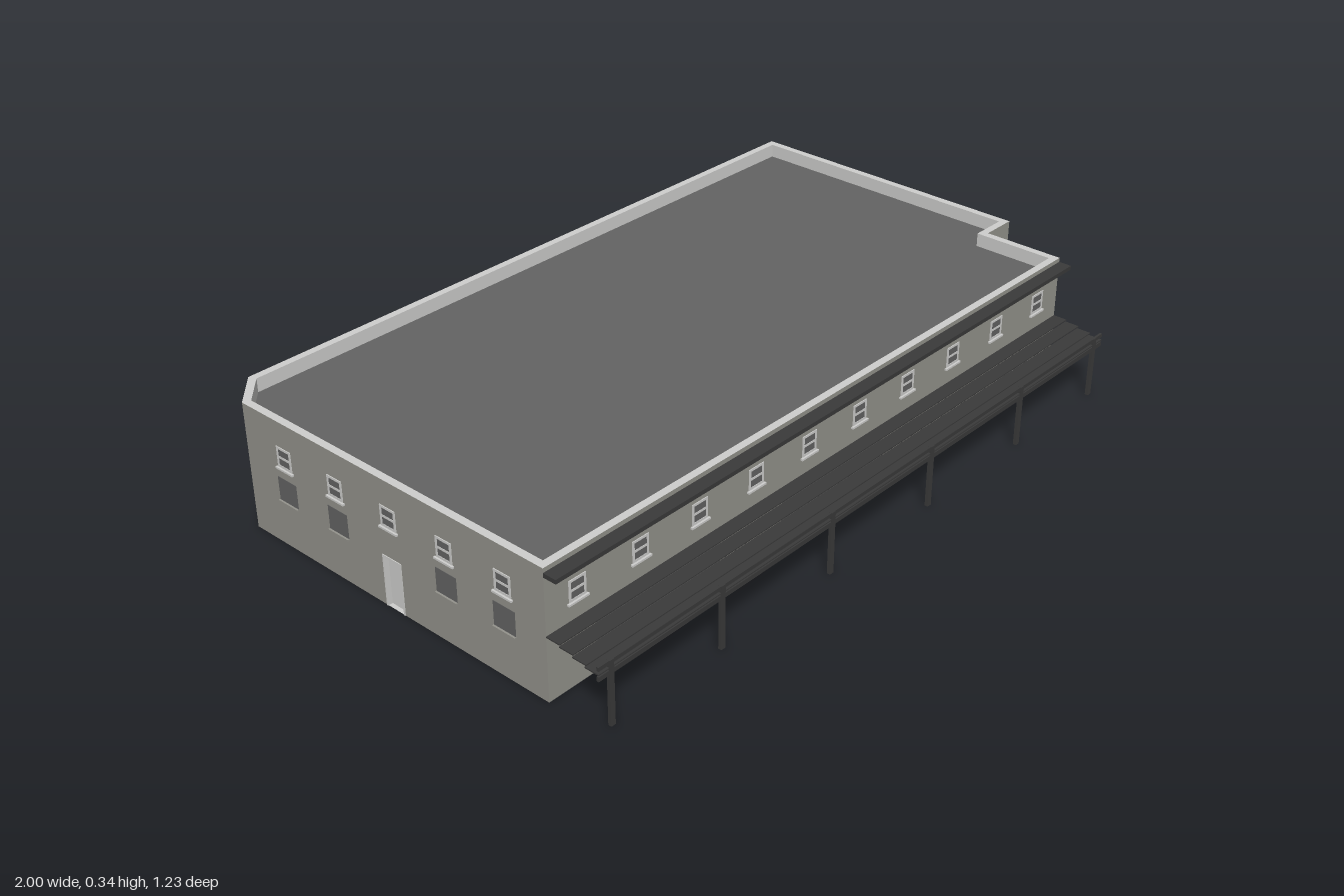
import * as THREE from 'three';

const material = (name, color, side = THREE.FrontSide) =>
  Object.assign(new THREE.MeshStandardMaterial({ color, side }), { name });

export function createModel() {
  const wallMat = material('wall grey', 0x94938c);
  const lightMat = material('light trim', 0xcfcfcd, THREE.DoubleSide);
  const darkMat = material('dark glass and roof', 0x636363);
  const steelMat = material('dark steel', 0x3a3a3a);

  const model = new THREE.Group();
  model.name = 'building';
  const H = 0.34, T = 0.02, ROOF = 0.303;

  const add = (parent, name, geo, mat, x = 0, y = 0, z = 0) => {
    const m = new THREE.Mesh(geo, mat);
    m.name = name;
    m.position.set(x, y, z);
    parent.add(m);
    return m;
  };
  const box = (parent, name, mat, w, h, d, x, y, z) =>
    add(parent, name, new THREE.BoxGeometry(w, h, d), mat, x, y, z);

  // Footprint (x, z), walked so that each wall's outside is its local +z
  const V = (x, z) => new THREE.Vector2(x, z);
  const outer = [V(-0.994, 0.462), V(0.892, 0.462), V(0.892, 0.236), V(0.994, 0.236),
    V(0.994, -0.608), V(-0.912, -0.608), V(-0.994, -0.522)];
  const N = outer.length;
  const dirs = outer.map((p, i) => outer[(i + 1) % N].clone().sub(p).normalize());
  const normals = dirs.map(d => V(-d.y, d.x));
  const inner = outer.map((p, i) => {
    const a = normals[(i + N - 1) % N], b = normals[i];
    return p.clone().addScaledVector(a.clone().add(b), -T / (1 + a.dot(b)));
  });
  const flip = pts => pts.map(p => V(p.x, -p.y));

  // Wall face with door notches cut from its lower edge
  const face = (u0, u1, doors) => {
    const s = new THREE.Shape();
    s.moveTo(u0, 0);
    for (const d of doors) {
      s.lineTo(d.u - d.w / 2, 0);
      s.lineTo(d.u - d.w / 2, d.h);
      s.lineTo(d.u + d.w / 2, d.h);
      s.lineTo(d.u + d.w / 2, 0);
    }
    s.lineTo(u1, 0);
    s.lineTo(u1, H);
    s.lineTo(u0, H);
    return new THREE.ShapeGeometry(s);
  };

  // Sash window: two panes in a nearly flush light frame above a sill
  const upperWindow = (g, u) => {
    const w = new THREE.Group();
    w.name = 'upperWindow';
    w.position.set(u, 0.245, 0);
    g.add(w);
    box(w, 'panes', darkMat, 0.044, 0.048, 0.002, 0, 0, 0);
    for (const s of [-1, 1]) box(w, 'frameSide', lightMat, 0.006, 0.054, 0.004, s * 0.022, 0, 0);
    for (const y of [-0.024, 0, 0.024]) box(w, 'frameRail', lightMat, 0.044, 0.006, 0.004, 0, y, 0);
    box(w, 'sill', lightMat, 0.06, 0.005, 0.006, 0, -0.0305, 0.003);
  };
  // Plain ground floor window with a slim sill
  const lowerWindow = (g, u) => {
    box(g, 'lowerWindow', darkMat, 0.066, 0.064, 0.002, u, 0.155, 0);
    box(g, 'lowerSill', wallMat, 0.068, 0.004, 0.006, u, 0.122, 0.003);
  };
  // Recessed door with a light lining
  const door = (g, { u, w, h }) => {
    box(g, 'door', lightMat, w - 0.004, h, 0.005, u, h / 2, -0.014);
    box(g, 'doorBack', darkMat, w - 0.004, h, 0.003, u, h / 2, -T + 0.001);
    for (const s of [-1, 1])
      box(g, 'doorJamb', lightMat, 0.004, h, T + 0.002, u + s * (w / 2 - 0.002), h / 2, -T / 2 + 0.001);
    box(g, 'doorLintel', lightMat, w, 0.004, T + 0.002, u, h - 0.002, -T / 2 + 0.001);
  };

  // Openings for each wall, measured along it from its first corner
  const D = u => ({ u, w: 0.062, h: 0.138 });
  const row = (n, start, step) => Array.from({ length: n }, (_, i) => start + i * step);
  const rightU = [0.107, -0.038, -0.186, -0.332, -0.478].map(z => 0.236 - z);
  const backU = row(13, 0.127, 0.138);
  const leftU = row(5, 0.14, 0.18);
  const walls = [
    { name: 'frontWall', upper: row(10, 0.093, 0.1887), lower: [], doors: [] },
    { name: 'notchSideWall', upper: [0.109], lower: [], doors: [D(0.109)] },
    { name: 'notchFrontWall', upper: [], lower: [], doors: [D(0.05)] },
    { name: 'rightWall', upper: rightU, lower: rightU.filter((_, i) => i !== 2), doors: [D(rightU[2])] },
    { name: 'backWall', upper: backU, lower: backU.filter((_, i) => i !== 6), doors: [D(backU[6])] },
    { name: 'cornerWall', upper: [], lower: [], doors: [D(0.06)] },
    { name: 'leftWall', upper: leftU, lower: leftU.filter((_, i) => i !== 2), doors: [D(leftU[2])] },
  ];
  walls.forEach((w, i) => {
    const a = outer[i], b = outer[(i + 1) % N], d = dirs[i];
    const g = new THREE.Group();
    g.name = w.name;
    g.position.set(a.x, 0, a.y);
    g.rotation.y = Math.atan2(-d.y, d.x);
    model.add(g);
    const along = p => p.clone().sub(a).dot(d);
    add(g, 'outerFace', face(0, along(b), w.doors), wallMat);
    add(g, 'innerFace', face(along(inner[i]), along(inner[(i + 1) % N]), w.doors), lightMat, 0, 0, -T);
    w.upper.forEach(u => upperWindow(g, u));
    w.lower.forEach(u => lowerWindow(g, u));
    w.doors.forEach(o => door(g, o));
  });

  // Parapet coping, wall base, sunken roof and light ceiling beneath it
  const ring = new THREE.Shape(flip(outer));
  ring.holes.push(new THREE.Path(flip(inner)));
  const ringGeo = new THREE.ShapeGeometry(ring).rotateX(-Math.PI / 2);
  add(model, 'parapetCoping', ringGeo, lightMat, 0, H, 0);
  add(model, 'wallBase', ringGeo, lightMat, 0, 0, 0);
  const roofGeo = new THREE.ShapeGeometry(new THREE.Shape(flip(inner))).rotateX(-Math.PI / 2);
  add(model, 'roof', roofGeo, darkMat, 0, ROOF, 0);
  add(model, 'ceiling', roofGeo, lightMat, 0, ROOF - 0.004, 0);

  // Street level shutters
  for (const [x0, x1] of [[-0.85, -0.46], [-0.24, 0.135]])
    box(model, 'shutter', darkMat, x1 - x0, 0.13, 0.003, (x0 + x1) / 2, 0.065, 0.462);

  // Shopfront with glazing over plain panels
  const shop = new THREE.Group();
  shop.name = 'shopfront';
  shop.position.set(0.705, 0, 0.462);
  model.add(shop);
  box(shop, 'glazing', darkMat, 0.145, 0.058, 0.002, 0, 0.09, 0);
  for (const x of [-0.072, 0, 0.072]) box(shop, 'mullion', lightMat, 0.004, 0.126, 0.004, x, 0.063, 0);
  for (const y of [0.06, 0.12]) box(shop, 'rail', lightMat, 0.145, 0.004, 0.004, 0, y, 0);

  // Dark ledge below the parapet
  const L = 1.886, CX = -0.051;
  box(model, 'ledge', steelMat, L, 0.011, 0.036, CX, 0.323, 0.48);

  // Stepped slat canopy on posts
  const canopy = new THREE.Group();
  canopy.name = 'canopy';
  model.add(canopy);
  for (const [z, y] of [[0.481, 0.169], [0.519, 0.163], [0.556, 0.156], [0.591, 0.149]])
    box(canopy, 'slat', steelMat, L, 0.003, 0.04, CX, y, z);
  box(canopy, 'upperBeam', steelMat, L, 0.01, 0.006, CX, 0.163, 0.608);
  box(canopy, 'lowerBeam', steelMat, L, 0.012, 0.006, CX, 0.138, 0.608);
  for (const x of [-0.957, -0.616, -0.24, 0.138, 0.517, 0.856])
    box(canopy, 'post', steelMat, 0.013, 0.168, 0.009, x, 0.084, 0.608);

  return model;
}
